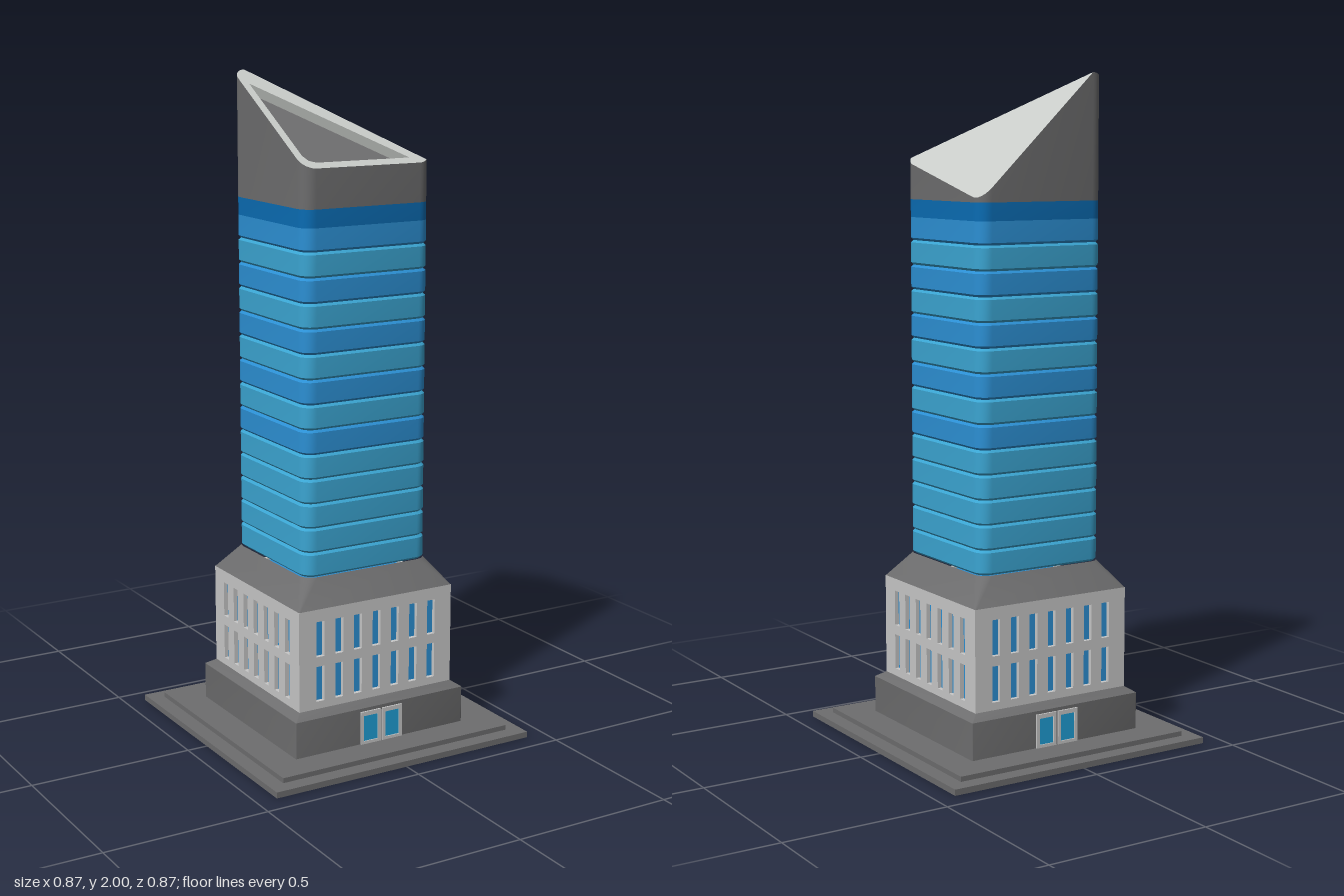
import * as THREE from 'three';
import { toCreasedNormals } from 'three/addons/utils/BufferGeometryUtils.js';

const mat = (name, color) => {
  const m = new THREE.MeshStandardMaterial({ color });
  m.name = name;
  return m;
};

export function createModel() {
  const group = new THREE.Group();
  const stone = mat('dark grey stone', 0x6d6d6e);
  const wall = mat('light grey wall', 0xc8c8c8);
  const roofPale = mat('pale roof', 0xc8cbc8);
  const teal = mat('teal glass', 0x3ba5d2);
  const blue = mat('blue glass', 0x2c90d4);
  const deepBlue = mat('deep blue glass', 0x0a6cb3);
  const doorGlass = mat('door glass', 0x1f9fd6);

  const add = (name, geo, material, parent = group) => {
    const mesh = new THREE.Mesh(geo, material);
    mesh.name = name;
    parent.add(mesh);
    return mesh;
  };

  // Rounded square ring of 28 points, turning from +x towards +z
  const ring = (y, half, radius) => {
    const pts = [];
    for (let c = 0; c < 4; c++) {
      const mid = (c + 0.5) * Math.PI / 2;
      const cx = Math.sign(Math.cos(mid)) * (half - radius);
      const cz = Math.sign(Math.sin(mid)) * (half - radius);
      for (let i = 0; i <= 6; i++) {
        const a = (c + i / 6) * Math.PI / 2;
        pts.push(new THREE.Vector3(cx + radius * Math.cos(a), y, cz + radius * Math.sin(a)));
      }
    }
    return pts;
  };
  const fromPoints = (pts) => toCreasedNormals(new THREE.BufferGeometry().setFromPoints(pts), 0.45);
  // Closed skin through a stack of rings, lowest first
  const loft = (rings) => {
    const out = [];
    for (let k = 0; k + 1 < rings.length; k++) {
      const lo = rings[k], hi = rings[k + 1], n = lo.length;
      for (let i = 0; i < n; i++) {
        const j = (i + 1) % n;
        out.push(lo[i], hi[i], lo[j], hi[i], hi[j], lo[j]);
      }
    }
    return fromPoints(out);
  };
  // Upward-facing convex cap
  const cap = (pts) => {
    const out = [];
    for (let i = 1; i + 1 < pts.length; i++) out.push(pts[0], pts[i + 1], pts[i]);
    return fromPoints(out);
  };
  const rectPath = (x0, y0, x1, y1, Type) => {
    const p = new Type();
    p.moveTo(x0, y0);
    p.lineTo(x1, y0);
    p.lineTo(x1, y1);
    p.lineTo(x0, y1);
    p.closePath();
    return p;
  };

  // Ground slabs
  add('lowerSlab', new THREE.BoxGeometry(0.874, 0.018, 0.874).translate(0, 0.009, 0), stone);
  add('upperSlab', new THREE.BoxGeometry(0.78, 0.016, 0.78).translate(0, 0.025, 0), stone);

  // Plinth with bevelled top
  add('plinth', loft([ring(0.03, 0.292, 0.003), ring(0.145, 0.292, 0.003), ring(0.163, 0.265, 0.003)]), stone);

  // Podium: walls with window openings around a glass core
  const wallShape = rectPath(-0.265, 0.16, 0.265, 0.47, THREE.Shape);
  for (let i = -3; i <= 3; i++) {
    for (const y of [0.186, 0.324]) {
      wallShape.holes.push(rectPath(i * 0.0645 - 0.0135, y, i * 0.0645 + 0.0135, y + 0.108, THREE.Path));
    }
  }
  const wallGeo = new THREE.ExtrudeGeometry(wallShape, { depth: 0.015, bevelEnabled: false }).translate(0, 0, 0.25);
  for (let s = 0; s < 4; s++) add('podiumWall', wallGeo, wall).rotation.y = s * Math.PI / 2;
  add('podiumWindows', new THREE.BoxGeometry(0.504, 0.3, 0.504).translate(0, 0.315, 0), blue);
  add('podiumRoof', loft([ring(0.47, 0.265, 0.003), ring(0.55, 0.213, 0.04)]), stone);

  // Double doors, front and back
  for (const side of [0, 1]) {
    const doors = new THREE.Group();
    doors.name = side ? 'backDoors' : 'frontDoors';
    doors.rotation.y = side * Math.PI;
    group.add(doors);
    for (const s of [-1, 1]) {
      const frame = rectPath(-0.0345, 0.033, 0.0345, 0.135, THREE.Shape);
      frame.holes.push(rectPath(-0.0245, 0.042, 0.0245, 0.122, THREE.Path));
      const geo = new THREE.ExtrudeGeometry(frame, { depth: 0.007, bevelEnabled: false });
      add('doorFrame', geo.translate(s * 0.0375, 0, 0.29), wall, doors);
      add('doorPane', new THREE.BoxGeometry(0.05, 0.082, 0.004).translate(s * 0.0375, 0.082, 0.2915), doorGlass, doors);
    }
  }

  // Tower storeys, separated by shallow grooves
  const H = 0.213, R = 0.04, pitch = 0.0737;
  const blueStoreys = [5, 7, 9, 11];
  for (let i = 0; i < 13; i++) {
    const y = 0.55 + i * pitch;
    add('storey', loft([
      ring(y, H - 0.007, R - 0.005), ring(y + 0.007, H, R),
      ring(y + pitch - 0.007, H, R), ring(y + pitch, H - 0.007, R - 0.005),
    ]), blueStoreys.includes(i) ? blue : teal);
  }
  const top = 0.55 + 13 * pitch;
  add('topStorey', loft([ring(top, H - 0.007, R - 0.005), ring(top + 0.007, H, R), ring(1.577, H, R)]), blue);
  add('topBand', loft([ring(1.577, H, R), ring(1.63, H, R)]), deepBlue);

  // Crown: walls cut by two sloping planes that meet in a diagonal ridge
  const slope = (z) => 1.745 + 0.6 * (H - z);
  const rim = ring(0, H, R);
  for (let i = 3; i <= 20; i++) rim[i].y = slope(rim[i].z);
  rim[27].y = 1.645;
  const plane = new THREE.Plane().setFromCoplanarPoints(rim[3], rim[20], rim[27]);
  const sideRim = [...rim.slice(20), ...rim.slice(0, 4)];
  for (const p of sideRim.slice(1, -1)) {
    p.y = -(plane.constant + plane.normal.x * p.x + plane.normal.z * p.z) / plane.normal.y;
  }
  add('crownWall', loft([ring(1.63, H, R), rim]), stone);
  add('crownSideSlope', cap(sideRim), roofPale);

  // Framed slope with a sunken triangular panel
  const hole = [[0.15, 0.19], [-0.16, 0.19], [-0.181, 0.181], [-0.19, 0.16], [-0.19, -0.15]]
    .map(([x, z]) => new THREE.Vector3(x, slope(z), z));
  const flat = (pts) => pts.map((p) => new THREE.Vector2(p.x, -p.z));
  const frameShape = new THREE.Shape(flat(rim.slice(3, 21)));
  frameShape.holes.push(new THREE.Path(flat(hole)));
  const frameGeo = new THREE.ShapeGeometry(frameShape).rotateX(-Math.PI / 2);
  const pos = frameGeo.attributes.position;
  for (let i = 0; i < pos.count; i++) pos.setY(i, slope(pos.getZ(i)));
  frameGeo.computeVertexNormals();
  add('crownFrame', frameGeo, roofPale);
  const inward = new THREE.Vector3(0, -1, -0.6).setLength(0.03);
  const floor = hole.map((p) => p.clone().add(inward));
  add('crownRecessEdge', loft([hole, floor]), roofPale);
  add('crownPanel', cap(floor), stone);

  return group;
}
